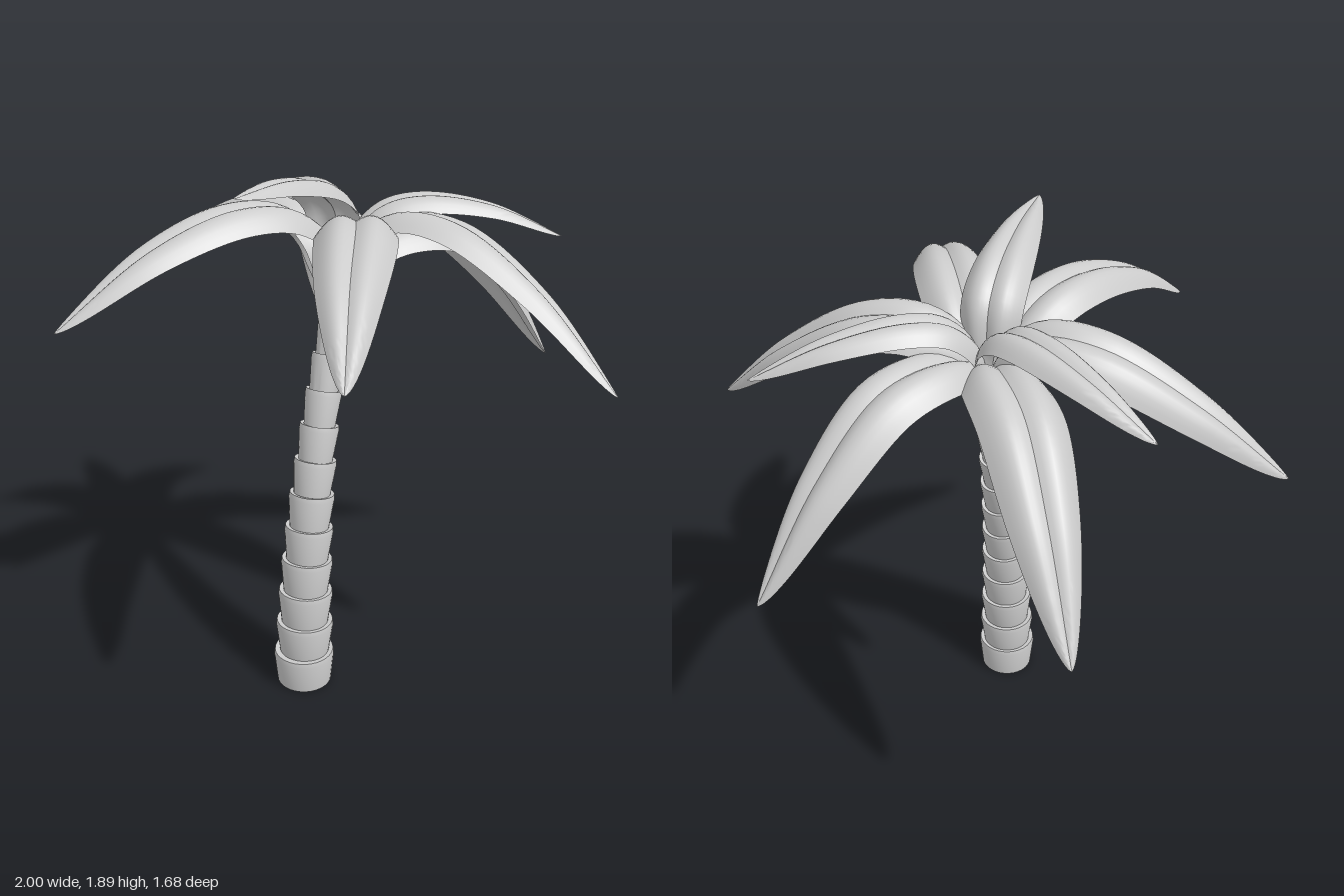
import * as THREE from 'three';
import { toCreasedNormals } from 'three/addons/utils/BufferGeometryUtils.js';

const V = (x, y, z) => new THREE.Vector3(x, y, z);
const UP = V(0, 1, 0);
const material = new THREE.MeshStandardMaterial({ color: 0xcccccc });
const leafMaterial = new THREE.MeshStandardMaterial({ color: 0xcccccc, side: THREE.DoubleSide });

// Leaning trunk made of flared rings stacked along a curve
function makeTrunk() {
  const trunk = new THREE.Group();
  trunk.name = 'trunk';
  const curve = new THREE.CatmullRomCurve3([
    V(0, 0, 0.228), V(0, 0.25, 0.22), V(0, 0.5, 0.198), V(0, 0.75, 0.158),
    V(0, 1, 0.1), V(0, 1.24, 0.033), V(0, 1.47, -0.04),
  ]);
  const count = 12;
  for (let i = 0; i < count; i++) {
    const a = curve.getPointAt(i / count);
    const b = curve.getPointAt((i + 1) / count);
    const dir = b.clone().sub(a);
    const h = dir.length() + 0.004;
    const r = THREE.MathUtils.lerp(0.111, 0.047, i / (count - 1));
    const foot = r * (i === 0 ? 0.9 : 0.86);
    const profile = [[0, 0], [foot, 0], [r, h - 0.018], [r * 0.97, h], [r * 0.75, h - 0.004], [0, h - 0.004]]
      .map(([x, y]) => new THREE.Vector2(x, y));
    const ring = new THREE.Mesh(toCreasedNormals(new THREE.LatheGeometry(profile, 32), 0.5), material);
    ring.name = 'trunkRing';
    ring.position.copy(a);
    if (i > 0) ring.quaternion.setFromUnitVectors(UP, dir.normalize());
    trunk.add(ring);
  }
  return trunk;
}

// Height of the blade across its width: two puffed lobes either side of a midrib groove
const lobes = (a) => 0.2 * Math.sin(Math.PI * a) - 0.38 * a * a;

// Leaf lofted along a midrib curve, with a thin closed cross-section
function leafGeometry(points, halfWidth, roll) {
  const curve = new THREE.CatmullRomCurve3(points);
  const heading = points[points.length - 1].clone().sub(points[0]).setY(0).normalize();
  const across = UP.clone().cross(heading);
  const steps = 48, n = 16;

  const section = [];
  for (let j = 0; j <= n; j++) {
    const s = -1 + (2 * j) / n;
    section.push([s, lobes(Math.abs(s))]);
  }
  for (let j = n - 1; j > 0; j--) {
    const s = -1 + (2 * j) / n;
    section.push([s, lobes(Math.abs(s)) - 0.2 * Math.sqrt(1 - s * s)]);
  }

  const pos = [], index = [], m = section.length;
  for (let i = 0; i <= steps; i++) {
    // Stations crowd towards the rounded tip
    const t = Math.sin((Math.PI / 2) * (i / steps));
    const p = curve.getPointAt(t);
    const T = curve.getTangentAt(t);
    const S = across.clone().addScaledVector(T, -across.dot(T)).normalize();
    S.applyAxisAngle(T, roll * Math.min(1, t * 3));
    const N = T.clone().cross(S);
    // Broad near the base, tapering to the tip
    const swell = Math.sin(Math.PI * (0.1 + 0.9 * Math.pow(t, 0.8)));
    const w = halfWidth * Math.pow(Math.max(swell, 0.0005), 0.65);
    for (const [s, h] of section) {
      const q = p.clone().addScaledVector(S, s * w).addScaledVector(N, h * w);
      pos.push(q.x, q.y, q.z);
    }
    if (i === steps) break;
    for (let j = 0; j < m; j++) {
      const k = (j + 1) % m;
      const a = i * m + j, d = i * m + k;
      index.push(a, a + m, d + m, a, d + m, d);
    }
  }
  const geo = new THREE.BufferGeometry();
  geo.setAttribute('position', new THREE.Float32BufferAttribute(pos, 3));
  geo.setIndex(index);
  return toCreasedNormals(geo, 0.6);
}

// Midrib points, half width and roll; paired leaves are mirrored in x
const LEAVES = [
  { name: 'sideLeaf', pair: true, width: 0.132, roll: 0.22, path: [
    [0.01, 1.45, -0.04], [0.07, 1.61, -0.08], [0.19, 1.7, -0.112], [0.4, 1.69, -0.122], [0.7, 1.52, -0.085], [1, 1.26, -0.003]] },
  { name: 'frontLeaf', pair: true, width: 0.132, roll: 0, path: [
    [0.01, 1.45, -0.03], [0.06, 1.62, -0.02], [0.13, 1.725, 0.09], [0.225, 1.75, 0.27], [0.35, 1.67, 0.54], [0.493, 1.475, 0.838]] },
  { name: 'lowBackLeaf', pair: true, width: 0.138, roll: 0, path: [
    [0.01, 1.45, -0.05], [0.04, 1.565, -0.11], [0.11, 1.62, -0.24], [0.23, 1.59, -0.42], [0.36, 1.38, -0.63], [0.495, 1.035, -0.838]] },
  { name: 'highBackLeaf', pair: true, width: 0.098, roll: 0, path: [
    [0.01, 1.46, -0.05], [0.03, 1.62, -0.09], [0.1, 1.715, -0.155], [0.21, 1.745, -0.24], [0.41, 1.71, -0.37], [0.63, 1.61, -0.48]] },
  { name: 'topLeaf', pair: false, width: 0.106, roll: 0, path: [
    [0, 1.46, -0.03], [0, 1.62, -0.05], [0, 1.74, -0.02], [0, 1.825, 0.1], [0, 1.877, 0.32], [0, 1.885, 0.585]] },
];

function makeCrown() {
  const crown = new THREE.Group();
  crown.name = 'crown';
  for (const { name, pair, width, roll, path } of LEAVES) {
    for (const side of pair ? [1, -1] : [1]) {
      const points = path.map(([x, y, z]) => V(side * x, y, z));
      const leaf = new THREE.Mesh(leafGeometry(points, width, -side * roll), leafMaterial);
      leaf.name = pair ? name + (side > 0 ? 'Left' : 'Right') : name;
      crown.add(leaf);
    }
  }
  return crown;
}

export function createModel() {
  const model = new THREE.Group();
  model.name = 'palmTree';
  model.add(makeTrunk(), makeCrown());
  return model;
}
